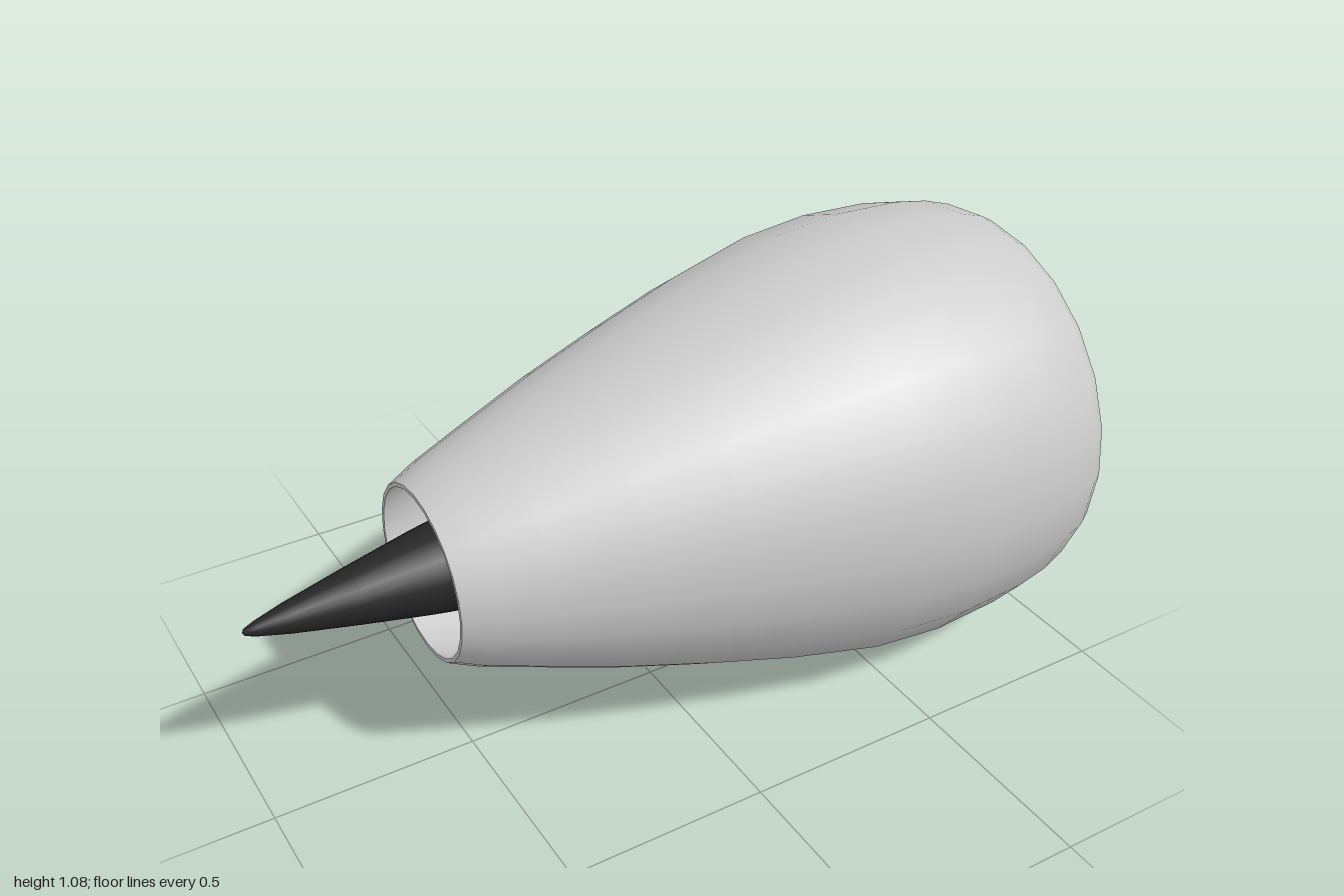
import * as THREE from 'three';

const AXIS_Y = 0.543;
const SIDES = 24;

const grey = new THREE.MeshStandardMaterial({ color: 0xcccccc, side: THREE.DoubleSide });
const dark = new THREE.MeshStandardMaterial({ color: 0x262626, side: THREE.DoubleSide });

// Revolves [x, radius] pairs about the engine's long axis
function revolve(name, profile, material) {
  const points = profile.map(([x, r]) => new THREE.Vector2(r, x));
  const geometry = new THREE.LatheGeometry(points, SIDES);
  geometry.rotateZ(-Math.PI / 2);
  const mesh = new THREE.Mesh(geometry, material);
  mesh.name = name;
  return mesh;
}

export function createModel() {
  const engine = new THREE.Group();
  engine.name = 'jetEngine';
  engine.position.y = AXIS_Y;

  // Outer cowl, rolling over the intake lip down to the fan
  engine.add(revolve('cowl', [
    [-0.59, 0.21], [-0.52, 0.243], [-0.4, 0.287], [-0.2, 0.358], [0, 0.42],
    [0.2, 0.477], [0.42, 0.527], [0.6, 0.542], [0.78, 0.533], [0.87, 0.517],
    [0.94, 0.494], [0.973, 0.474], [0.98, 0.455], [0.972, 0.432], [0.94, 0.4],
    [0.88, 0.371], [0.8, 0.355], [0.75, 0.354],
  ], grey));

  // Rear nozzle: rim and inner wall
  engine.add(revolve('nozzleRim', [[-0.59, 0.2], [-0.59, 0.21]], grey));
  engine.add(revolve('nozzleLiner', [[-0.42, 0.25], [-0.59, 0.2]], grey));
  engine.add(revolve('nozzleBackPlate', [[-0.42, 0], [-0.42, 0.25]], dark));

  // Exhaust cone
  engine.add(revolve('exhaustCone', [
    [-1, 0], [-0.995, 0.008], [-0.97, 0.017], [-0.9, 0.035],
    [-0.75, 0.066], [-0.59, 0.097], [-0.42, 0.125],
  ], dark));

  // Fan: backing disc, blades and spinner
  engine.add(revolve('fanDisc', [[0.755, 0.356], [0.755, 0]], dark));

  const blades = new THREE.Group();
  blades.name = 'fanBlades';
  const bladeGeometry = new THREE.BoxGeometry(0.05, 0.24, 0.024).translate(0.78, 0.218, 0);
  for (let i = 0; i < 16; i++) {
    const blade = new THREE.Mesh(bladeGeometry, dark);
    blade.name = 'fanBlade';
    blade.rotation.x = (i * Math.PI) / 8;
    blades.add(blade);
  }
  engine.add(blades);

  engine.add(revolve('spinner', [
    [0.755, 0.136], [0.79, 0.135], [0.84, 0.122], [0.89, 0.1],
    [0.94, 0.071], [0.98, 0.042], [0.995, 0.02], [1, 0],
  ], grey));

  const model = new THREE.Group();
  model.name = 'model';
  model.add(engine);
  return model;
}
